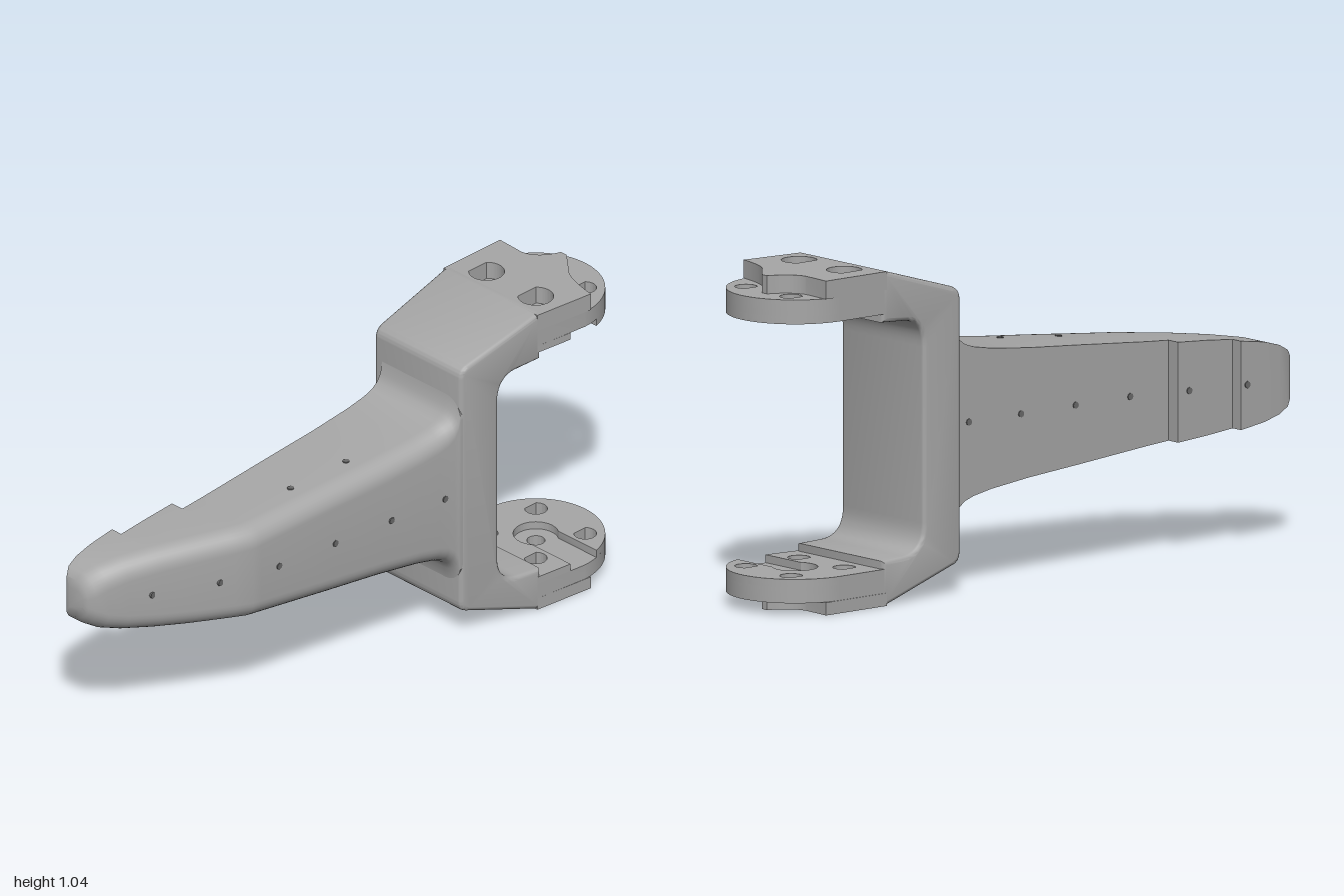
import * as THREE from 'three';
import { toCreasedNormals } from 'three/addons/utils/BufferGeometryUtils.js';

const grey = new THREE.MeshStandardMaterial({ color: 0xa6a6a6 });
grey.name = 'plastic grey';
const dark = new THREE.MeshStandardMaterial({ color: 0x6a6a6a });
dark.name = 'hole grey';

const AXIS = 0.525;                       // height of the arm's centre line
const LEFT = -0.19;                       // flat side of the bracket
const DISC = { x: 0.025, v: 0.787, r: 0.213 };
const rightEdge = (v) => 0.155 + 0.107 * v;   // slanted side, v = -z

function add(group, name, geometry, material = grey) {
  const mesh = new THREE.Mesh(geometry, material);
  mesh.name = name;
  group.add(mesh);
  return mesh;
}

// Teardrop screw hole, pointing to -x
function teardrop(x, v, r) {
  const p = new THREE.Path();
  p.moveTo(x - r * 1.4, v);
  p.absarc(x, v, r, -Math.PI * 0.75, Math.PI * 0.75, false);
  p.closePath();
  return p;
}

function circle(x, v, r) {
  return new THREE.Path().absarc(x, v, r, 0, Math.PI * 2, false);
}

// Flat layer drawn in (x, -z) and raised from y0 to y1
function slab(group, name, shape, y0, y1) {
  const g = new THREE.ExtrudeGeometry(shape, { depth: y1 - y0, bevelEnabled: false, curveSegments: 28 });
  g.rotateX(-Math.PI / 2).translate(0, y0, 0);
  add(group, name, toCreasedNormals(g, 0.5));
}

function screwHoles(shape, frontRadius, withBack) {
  for (const s of [-1, 1]) {
    shape.holes.push(teardrop(DISC.x + s * 0.107, DISC.v - 0.107, frontRadius));
    if (withBack) shape.holes.push(teardrop(DISC.x + s * 0.107, DISC.v + 0.107, 0.035));
  }
  return shape;
}

// Outer plate with scalloped rear edge
function plateShape() {
  const s = new THREE.Shape();
  s.moveTo(LEFT, 0.6);
  s.lineTo(rightEdge(0.6), 0.6);
  s.lineTo(rightEdge(0.81), 0.81);
  s.quadraticCurveTo(0.12, 0.83, 0.09, 0.865);
  s.lineTo(0.02, 0.925);
  s.lineTo(-0.005, 0.925);
  s.quadraticCurveTo(-0.03, 0.85, -0.09, 0.84);
  s.lineTo(LEFT, 0.845);
  s.closePath();
  return screwHoles(s, 0.055, false);
}

// Round mounting pad, optionally with a cable channel open to +x
function padShape(channel) {
  const s = new THREE.Shape();
  s.moveTo(-0.188, 0.6);
  s.lineTo(rightEdge(0.6), 0.6);
  if (channel) {
    s.lineTo(rightEdge(0.73), 0.73);
    s.lineTo(0.065, 0.73);
    s.absarc(DISC.x, DISC.v, 0.07, -0.96, 0.96, true);
    s.lineTo(0.23, 0.845);
    s.absarc(DISC.x, DISC.v, DISC.r, 0.276, Math.PI, false);
  } else {
    s.absarc(DISC.x, DISC.v, DISC.r, 0, Math.PI, false);
  }
  s.closePath();
  return screwHoles(s, 0.035, true);
}

// C-shaped bracket: side profile extruded across x, then tapered
function bracketGeometry() {
  const s = new THREE.Shape();
  s.moveTo(0.3, 0.135);
  s.quadraticCurveTo(0.3, 0.1, 0.33, 0.092);
  s.lineTo(0.6, 0);
  s.lineTo(0.615, 0);
  s.lineTo(0.615, 0.14);
  s.lineTo(0.53, 0.145);
  s.quadraticCurveTo(0.45, 0.15, 0.45, 0.24);
  s.lineTo(0.45, 0.79);
  s.quadraticCurveTo(0.45, 0.88, 0.53, 0.88);
  s.lineTo(0.615, 0.885);
  s.lineTo(0.615, 1.045);
  s.lineTo(0.6, 1.045);
  s.lineTo(0.33, 0.964);
  s.quadraticCurveTo(0.3, 0.953, 0.3, 0.92);
  s.closePath();
  const b = 0.014;
  const g = new THREE.ExtrudeGeometry(s, {
    depth: 1 - 2 * b / 0.39, bevelThickness: b / 0.39, bevelSize: b, bevelOffset: -b, bevelSegments: 3, curveSegments: 10,
  });
  g.translate(0, 0, b / 0.39).rotateY(Math.PI / 2);
  const p = g.attributes.position;
  for (let i = 0; i < p.count; i++) {
    p.setX(i, LEFT + p.getX(i) * (rightEdge(-p.getZ(i)) - LEFT));
  }
  return toCreasedNormals(g, 0.6);
}

// Arm stations: z, half height, left x, right x
const STATIONS = [
  [1.0, 0.035, -0.21, -0.15], [0.993, 0.065, -0.228, -0.135], [0.975, 0.088, -0.238, -0.118],
  [0.94, 0.108, -0.24, -0.098], [0.88, 0.125, -0.24, -0.07], [0.785, 0.139, -0.24, -0.025],
  [0.785, 0.139, -0.2, -0.025], [0.68, 0.149, -0.2, 0.025], [0.565, 0.157, -0.2, 0.077],
  [0.565, 0.157, -0.155, 0.077], [0.51, 0.161, -0.155, 0.1], [0.48, 0.163, -0.155, 0.104],
  [0.2, 0.187, -0.155, 0.134], [0, 0.203, -0.155, 0.155], [-0.15, 0.22, -0.155, 0.171],
  [-0.22, 0.233, -0.155, 0.1785], [-0.255, 0.245, -0.155, 0.182], [-0.278, 0.262, -0.155, 0.185],
  [-0.293, 0.287, -0.155, 0.186], [-0.3, 0.325, -0.155, 0.187], [-0.36, 0.325, -0.155, 0.187],
];

// Section: square on the flat side, rounded on the slanted side
function armGeometry() {
  const pos = [], index = [], SEG = 8, n = 2 * (SEG + 1) + 2;
  for (const [z, h, xl, xr] of STATIONS) {
    const r = Math.min(0.065, h * 0.8, (xr - xl) * 0.7);
    pos.push(xl, AXIS - h, z);
    for (const [side, start] of [[-1, -Math.PI / 2], [1, 0]]) {
      for (let k = 0; k <= SEG; k++) {
        const a = start + (k / SEG) * Math.PI / 2;
        pos.push(xr - r + r * Math.cos(a), AXIS + side * (h - r) + r * Math.sin(a), z);
      }
    }
    pos.push(xl, AXIS + h, z);
  }
  for (let i = 0; i < STATIONS.length - 1; i++) {
    for (let j = 0; j < n; j++) {
      const a = i * n + j, b = i * n + (j + 1) % n;
      index.push(a, a + n, b, b, a + n, b + n);
    }
  }
  for (let j = 1; j < n - 1; j++) index.push(0, j, j + 1);
  const g = new THREE.BufferGeometry();
  g.setAttribute('position', new THREE.Float32BufferAttribute(pos, 3));
  g.setIndex(index);
  return toCreasedNormals(g, 0.6);
}

// Arm outline at a given z
function armAt(z) {
  const i = STATIONS.findIndex((s) => s[0] <= z);
  const a = STATIONS[i - 1], b = STATIONS[i];
  const t = (a[0] - z) / (a[0] - b[0]);
  return a.map((v, k) => v + (b[k] - v) * t);
}

export function createModel() {
  const model = new THREE.Group();
  model.name = 'bracketArm';
  add(model, 'bracket', bracketGeometry());
  add(model, 'arm', armGeometry());

  // Upper mount
  slab(model, 'upperPlate', plateShape(), 0.988, 1.045);
  slab(model, 'upperPad', padShape(false), 0.936, 0.988);
  slab(model, 'upperPadChannel', padShape(true), 0.912, 0.936);

  // Lower mount, with a centre hole
  const lowerPlate = plateShape(), lowerPad = padShape(false);
  for (const s of [lowerPlate, lowerPad]) s.holes.push(circle(DISC.x, DISC.v, 0.028));
  slab(model, 'lowerPlate', lowerPlate, 0, 0.04);
  slab(model, 'lowerPad', lowerPad, 0.04, 0.09);
  slab(model, 'lowerPadChannel', padShape(true), 0.09, 0.115);

  // Small lacing holes through the arm, crosswise then vertical
  for (const z of [0.81, 0.61, 0.41, 0.19, -0.03, -0.24]) {
    const [, , xl, xr] = armAt(z);
    const g = new THREE.CylinderGeometry(0.011, 0.011, xr - xl + 0.006, 8).rotateZ(Math.PI / 2);
    add(model, 'sideHole', g, dark).position.set((xl + xr) / 2, AXIS, z);
  }
  for (const [x, z] of [[0.045, 0.055], [0.02, 0.27]]) {
    const h = armAt(z)[1];
    add(model, 'topHole', new THREE.CylinderGeometry(0.011, 0.011, 2 * h + 0.006, 8), dark).position.set(x, AXIS, z);
  }
  return model;
}
